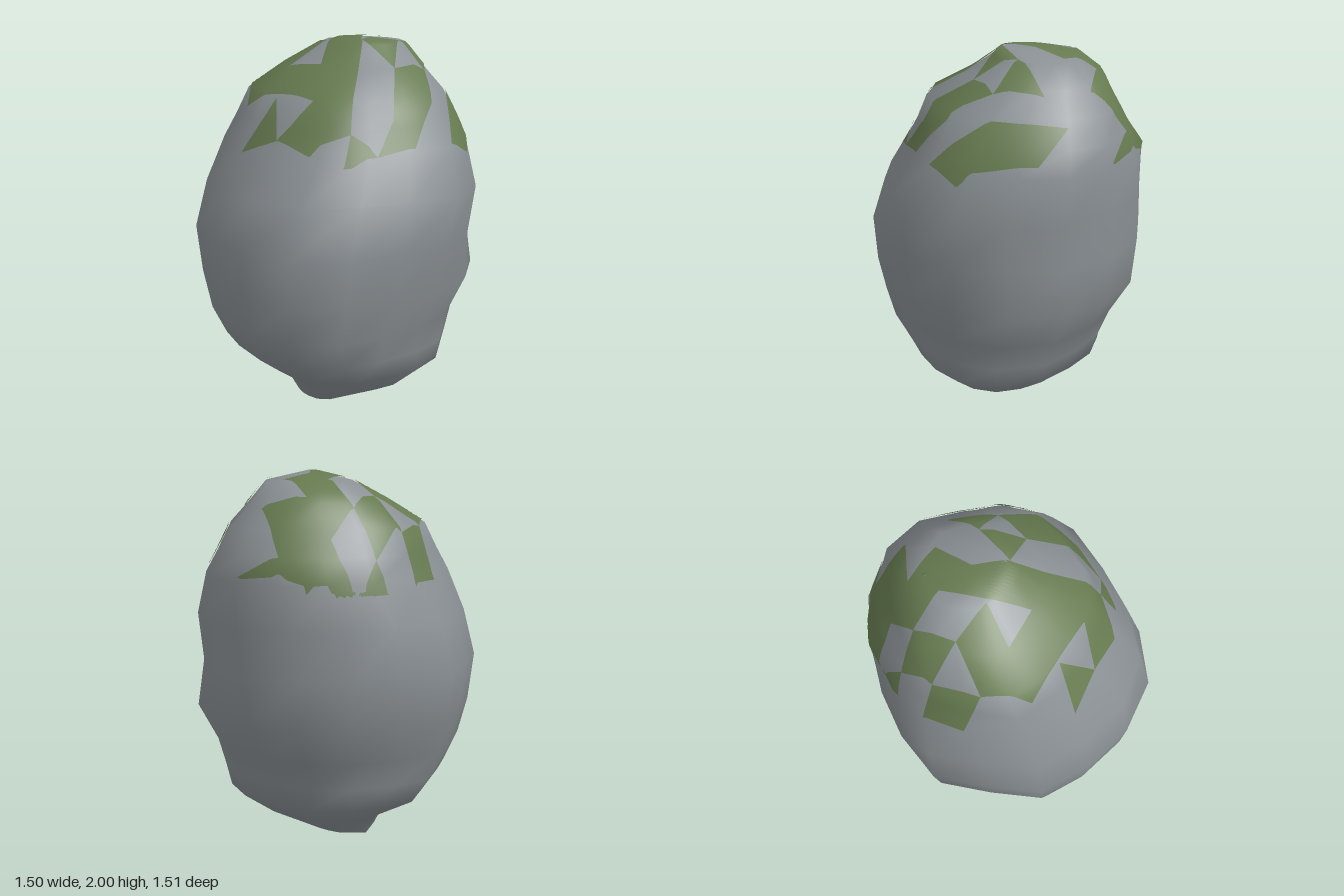
import * as THREE from 'three';
import { mergeVertices } from 'three/addons/utils/BufferGeometryUtils.js';

const stone = new THREE.MeshStandardMaterial({ name: 'stone grey', color: 0x8a9094 });
const moss = new THREE.MeshStandardMaterial({ name: 'moss green', color: 0x667a50 });

// Boulder cross-sections: height, x and z limits,
// then bulge or dent on the four diagonals (+x+z, -x+z, -x-z, +x-z)
const RINGS = [
  [0.04, -0.21, 0.11, -0.18, 0.13, 0.1, 0.1, 0, 0.1],
  [0.15, -0.30, 0.30, -0.27, 0.40, 0.1, 0.03, 0, 0.12],
  [0.28, -0.48, 0.48, -0.51, 0.55, 0.12, 0.05, 0, 0.06],
  [0.40, -0.62, 0.52, -0.57, 0.58, 0.12, 0.05, 0, 0.03],
  [0.55, -0.70, 0.59, -0.63, 0.61, 0.1, 0.04, 0, 0],
  [0.75, -0.73, 0.71, -0.71, 0.69, 0.08, 0.02, 0, 0.01],
  [1.00, -0.75, 0.74, -0.75, 0.73, -0.02, 0, 0, -0.01],
  [1.25, -0.69, 0.75, -0.71, 0.76, -0.03, -0.09, 0, 0],
  [1.48, -0.52, 0.745, -0.59, 0.66, -0.06, -0.07, 0.1, 0.06],
  [1.60, -0.44, 0.72, -0.55, 0.60, -0.11, -0.04, 0.1, -0.04],
  [1.73, -0.35, 0.66, -0.50, 0.52, -0.12, 0.03, 0.12, -0.1],
  [1.85, -0.15, 0.55, -0.38, 0.36, -0.08, 0, 0.08, -0.04],
  [1.955, 0.0, 0.43, -0.22, 0.24, 0, 0, 0, 0],
];
// Lumpiness around the boulder, one factor per side
const LUMPS = [1, 1.03, 1, 1, 1, 0.95, 1.01, 1.04, 1, 0.97, 1, 0.94, 1, 0.94, 0.94, 0.97];

// Moss patch outlines seen from above, as x, z pairs
const PATCHES = [
  [-0.33, -0.32, -0.12, -0.44, 0.09, -0.31, 0.05, -0.1, -0.13, -0.2, -0.13, 0.01, 0.06, -0.085,
    0.27, -0.16, 0.3, -0.35, 0.45, -0.33, 0.46, -0.51, 0.54, -0.43, 0.62, -0.32, 0.69, -0.16,
    0.735, 0.02, 0.65, -0.17, 0.57, 0.01, 0.44, -0.17, 0.4, 0.02, 0.2, 0.02, 0.06, 0.13,
    -0.33, 0.36, -0.49, 0.23, -0.49, 0.02, -0.35, 0.14],
  [-0.51, -0.2, -0.35, -0.1, -0.49, 0.02],
  [-0.09, -0.56, 0.12, -0.6, 0.11, -0.5, -0.12, -0.44],
  [0.11, -0.5, 0.3, -0.49, 0.3, -0.35, 0.09, -0.31],
  [0.29, -0.58, 0.46, -0.51, 0.3, -0.49],
  [-0.43, 0.39, -0.33, 0.36, -0.27, 0.48],
  [-0.27, 0.48, -0.13, 0.47, 0.08, 0.32, 0.27, 0.37, 0.11, 0.53, -0.08, 0.57],
  [0.06, 0.13, 0.27, 0.2, 0.08, 0.32],
  [0.27, 0.2, 0.47, 0.22, 0.27, 0.37],
  [0.12, 0.65, 0.48, 0.33, 0.62, 0.21, 0.58, 0.37, 0.3, 0.63],
];

function boulderGeometry() {
  const n = LUMPS.length, pos = [], index = [];
  for (const [y, x0, x1, z0, z1, ...diagonals] of RINGS) {
    for (let j = 0; j < n; j++) {
      const a = (j / n) * Math.PI * 2;
      const r = LUMPS[j] + diagonals[Math.floor(j * 4 / n)] * Math.sin(2 * a) ** 2;
      pos.push((x0 + x1) / 2 + Math.cos(a) * r * (x1 - x0) / 2, y,
        (z0 + z1) / 2 + Math.sin(a) * r * (z1 - z0) / 2);
    }
  }
  const bottom = RINGS.length * n, top = bottom + 1, last = bottom - n;
  pos.push(-0.08, 0, -0.14, 0.08, 2, 0.12);
  for (let j = 0; j < n; j++) {
    const k = (j + 1) % n;
    index.push(bottom, j, k, last + j, top, last + k);
    for (let i = 0; i < last; i += n) {
      index.push(i + j, i + n + j, i + k, i + n + j, i + n + k, i + k);
    }
  }
  const geo = new THREE.BufferGeometry();
  geo.setAttribute('position', new THREE.Float32BufferAttribute(pos, 3));
  geo.setIndex(index);
  geo.computeVertexNormals();
  return geo;
}

// Split every triangle into four
function subdivide(tris) {
  const out = [];
  for (const [a, b, c] of tris) {
    const ab = a.clone().lerp(b, 0.5), bc = b.clone().lerp(c, 0.5), ca = c.clone().lerp(a, 0.5);
    out.push([a, ab, ca], [ab, b, bc], [ca, bc, c], [ab, bc, ca]);
  }
  return out;
}

// Drape a flat outline over the boulder as a thin skin
function mossGeometry(outline, boulder) {
  const pts = [];
  for (let i = 0; i < outline.length; i += 2) pts.push(new THREE.Vector2(outline[i], -outline[i + 1]));
  const flat = new THREE.ShapeGeometry(new THREE.Shape(pts)).rotateX(-Math.PI / 2);
  const corner = (i) => new THREE.Vector3().fromBufferAttribute(flat.attributes.position, flat.index.getX(i));
  let tris = [];
  for (let i = 0; i < flat.index.count; i += 3) tris.push([corner(i), corner(i + 1), corner(i + 2)]);
  for (let i = 0; i < 4; i++) tris = subdivide(tris);

  let geo = new THREE.BufferGeometry().setFromPoints(tris.flat());
  geo = mergeVertices(geo, 1e-5);
  const p = geo.attributes.position, normals = [];
  const ray = new THREE.Raycaster(), down = new THREE.Vector3(0, -1, 0);
  for (let i = 0; i < p.count; i++) {
    const from = new THREE.Vector3(p.getX(i), 3, p.getZ(i));
    let hit;
    // Points past the rim slide inward until they land on the upper stone
    for (let step = 0; step < 100; step++) {
      ray.set(from, down);
      hit = ray.intersectObject(boulder)[0];
      if (hit && hit.point.y > 1.42) break;
      from.x *= 0.995;
      from.z *= 0.995;
    }
    const nrm = hit.normal.clone().normalize();
    hit.point.addScaledVector(nrm, 0.008);
    p.setXYZ(i, hit.point.x, Math.min(hit.point.y, 2), hit.point.z);
    normals.push(nrm.x, nrm.y, nrm.z);
  }
  geo.setAttribute('normal', new THREE.Float32BufferAttribute(normals, 3));
  return geo;
}

export function createModel() {
  const model = new THREE.Group();
  model.name = 'mossyBoulder';
  const boulder = new THREE.Mesh(boulderGeometry(), stone);
  boulder.name = 'boulder';
  boulder.updateMatrixWorld();
  model.add(boulder);

  const patches = new THREE.Group();
  patches.name = 'mossPatches';
  for (const outline of PATCHES) {
    const patch = new THREE.Mesh(mossGeometry(outline, boulder), moss);
    patch.name = 'mossPatch';
    patches.add(patch);
  }
  model.add(patches);
  return model;
}
